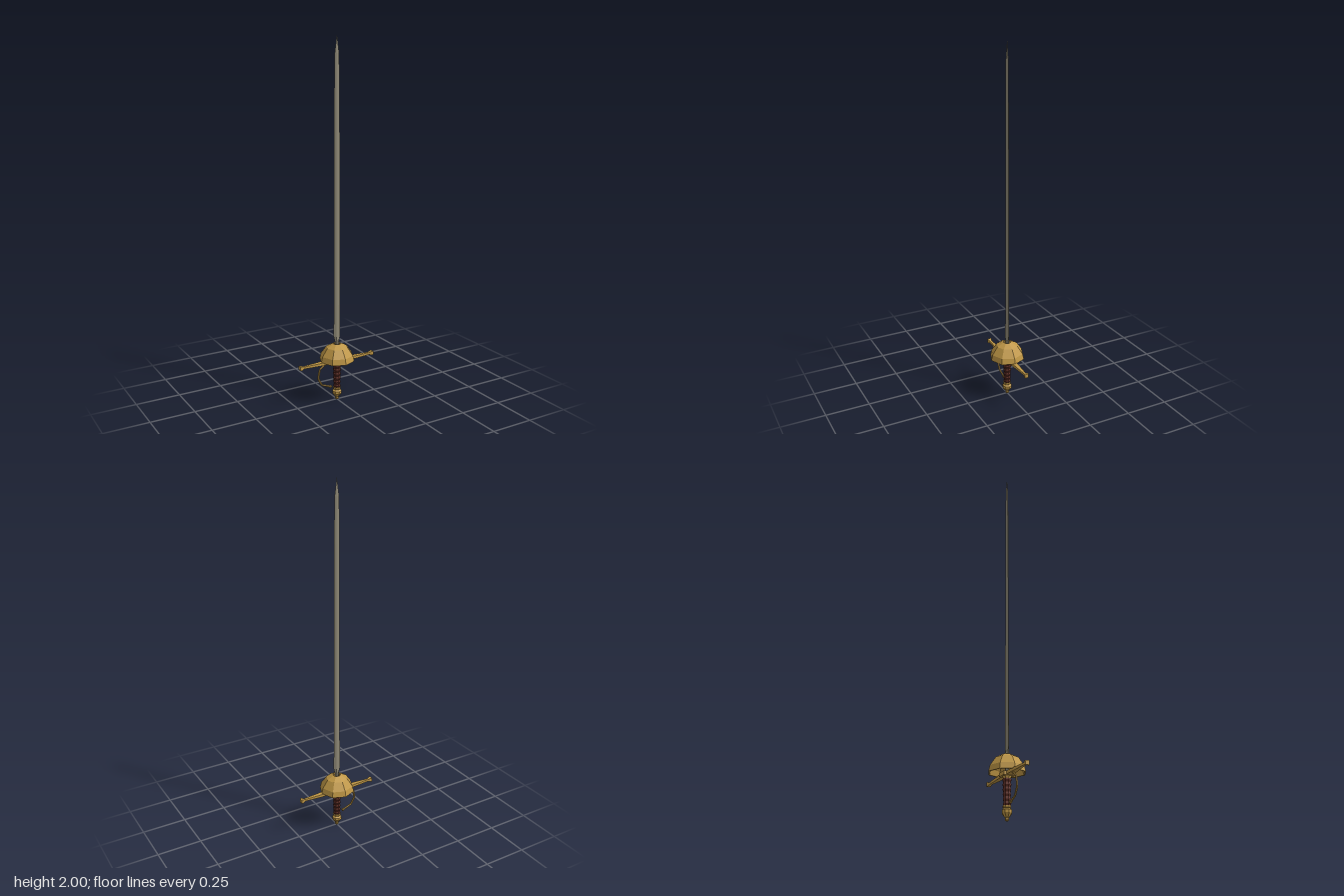
import * as THREE from 'three';

const mat = (name, color, side = THREE.FrontSide) =>
  new THREE.MeshStandardMaterial({ name, color, flatShading: true, side });

// Lofts a closed section [u, v] through stations [y, uScale, vScale], with end caps.
function loft(section, stations) {
  const n = section.length;
  const pos = [];
  const idx = [];
  for (const [y, su, sv] of stations)
    for (const [u, v] of section) pos.push(u * su, y, -v * sv);
  for (let s = 0; s < stations.length - 1; s++)
    for (let i = 0; i < n; i++) {
      const a = s * n + i, b = s * n + (i + 1) % n;
      idx.push(a, b, b + n, a, b + n, a + n);
    }
  const top = (stations.length - 1) * n;
  for (let i = 1; i < n - 1; i++) {
    idx.push(0, i + 1, i);
    idx.push(top, top + i, top + i + 1);
  }
  const g = new THREE.BufferGeometry();
  g.setAttribute('position', new THREE.Float32BufferAttribute(pos, 3));
  g.setIndex(idx);
  g.computeVertexNormals();
  return g;
}

// Eight-sided turned part from [radius, y] points.
const turned = (points) =>
  new THREE.LatheGeometry(points.map(([r, y]) => new THREE.Vector2(r, y)), 8);

export function createModel() {
  const model = new THREE.Group();
  model.name = 'rapier';
  const steel = mat('steel', 0x8f8976);
  const brass = mat('brass', 0xbf9746);
  const leather = mat('gripLeather', 0x5e2e25);

  const add = (name, geometry, material, parent = model) => {
    const mesh = new THREE.Mesh(geometry, material);
    mesh.name = name;
    parent.add(mesh);
    return mesh;
  };

  // Blade: flattened hexagon, narrow at the tang and tapering to the point
  const hexagon = [[1, 0], [0.4, 1], [-0.4, 1], [-1, 0], [-0.4, -1], [0.4, -1]];
  add('blade', loft(hexagon, [
    [0.22, 0.013, 0.009], [0.345, 0.013, 0.009], [0.375, 0.021, 0.008],
    [0.56, 0.019, 0.007], [1.67, 0.017, 0.006], [1.91, 0.013, 0.005], [2, 0.0005, 0.0005],
  ]), steel);

  // Cup guard: hollow eight-sided dome with a hole for the blade
  add('cupGuard', turned([
    [0.1, 0.236], [0.092, 0.268], [0.061, 0.312], [0.022, 0.332],
    [0.018, 0.326], [0.057, 0.305], [0.086, 0.264], [0.093, 0.236], [0.1, 0.236],
  ]), brass);

  // Crossguard: centre block and two mirrored tapered arms with flared ends
  const crossguard = new THREE.Group();
  crossguard.name = 'crossguard';
  model.add(crossguard);
  const block = add('guardBlock', new THREE.BoxGeometry(0.06, 0.02, 0.06), brass, crossguard);
  block.position.y = 0.23;
  const square = [[1, 1], [-1, 1], [-1, -1], [1, -1]];
  const armGeometry = loft(square, [
    [0, 0.009, 0.018], [0.1, 0.008, 0.0135], [0.21, 0.006, 0.006],
    [0.226, 0.011, 0.011], [0.235, 0.011, 0.011],
  ]);
  for (const side of [1, -1]) {
    const arm = add(side > 0 ? 'leftArm' : 'rightArm', armGeometry, brass, crossguard);
    arm.rotation.z = -side * Math.PI / 2;
    arm.position.y = 0.231;
  }

  // Knuckle bow: bent rod with a small knob at its free end
  const bow = new THREE.CurvePath();
  const bends = [[-0.066, 0.229], [-0.083, 0.217], [-0.111, 0.197], [-0.12, 0.145],
    [-0.097, 0.104], [-0.046, 0.085]].map(([x, y]) => new THREE.Vector3(x, y, 0));
  for (let i = 1; i < bends.length; i++) bow.add(new THREE.LineCurve3(bends[i - 1], bends[i]));
  add('knuckleBow', new THREE.TubeGeometry(bow, 20, 0.0055, 6), brass);
  add('bowKnob', new THREE.SphereGeometry(0.009, 6, 4), brass).position.set(-0.042, 0.084, 0);

  // Grip: ribbed leather wrap
  const ribs = 6, y0 = 0.07, y1 = 0.212;
  const gripProfile = [];
  for (let i = 0; i <= ribs * 2; i++) {
    const t = i / (ribs * 2);
    gripProfile.push([(i % 2 ? 0.021 : 0.017) + 0.003 * t, y0 + (y1 - y0) * t]);
  }
  add('grip', turned(gripProfile), leather);

  // Collar between grip and guard
  add('collar', turned([[0, 0.206], [0.021, 0.206], [0.024, 0.222], [0, 0.222]]), brass);

  // Pommel: ferrule, bulb and end button
  add('pommel', turned([
    [0, 0], [0.008, 0], [0.011, 0.007], [0.009, 0.016], [0.016, 0.022], [0.027, 0.038],
    [0.027, 0.052], [0.018, 0.06], [0.022, 0.064], [0.022, 0.074], [0, 0.074],
  ]), brass);

  return model;
}
